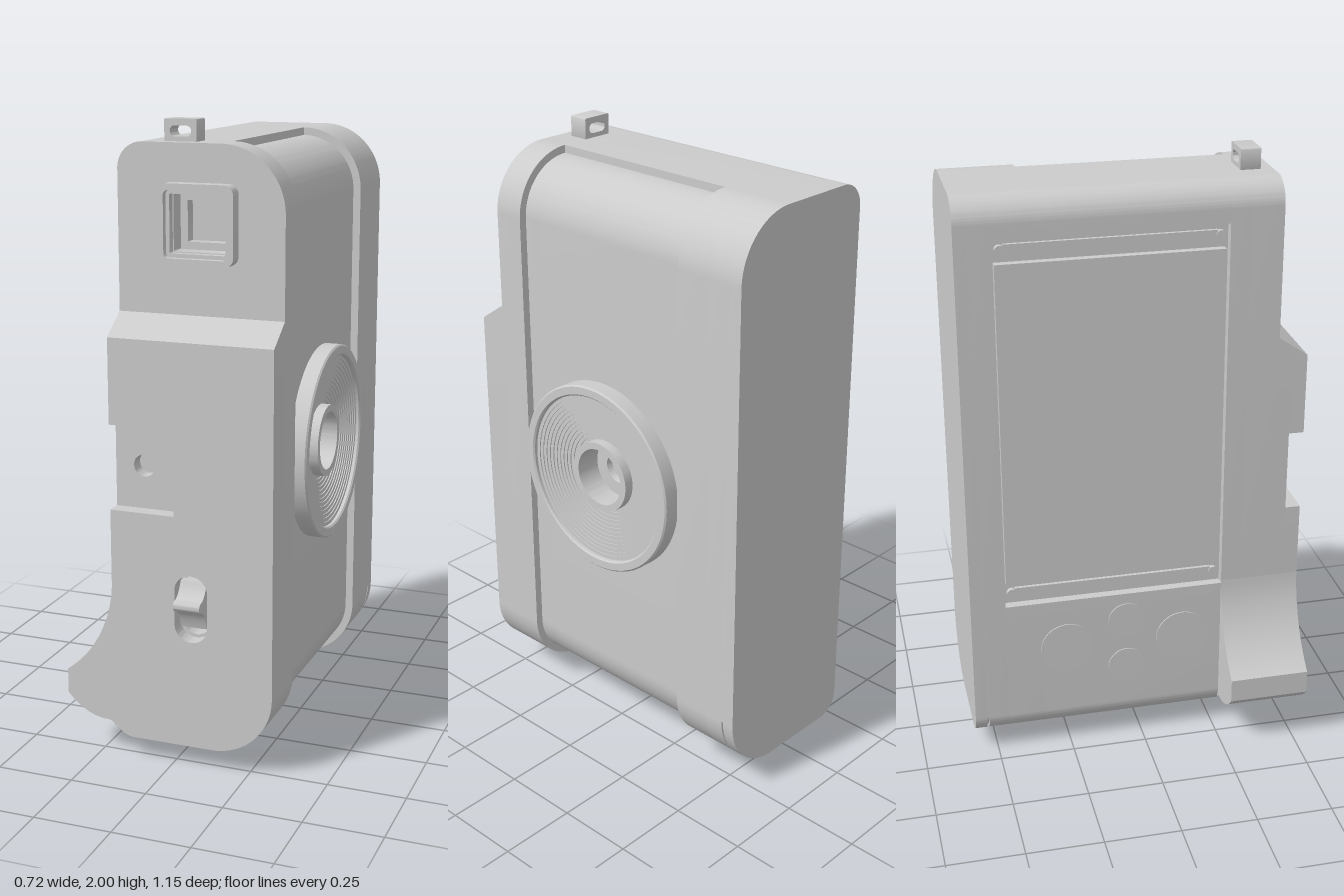
import * as THREE from 'three';
import { toCreasedNormals } from 'three/addons/utils/BufferGeometryUtils.js';

const PI = Math.PI;

export function createModel() {
  const group = new THREE.Group();
  const material = new THREE.MeshStandardMaterial({ color: 0xcccccc });

  const add = (name, geometry) => {
    const mesh = new THREE.Mesh(toCreasedNormals(geometry, 0.5), material);
    mesh.name = name;
    group.add(mesh);
    return mesh;
  };
  // Extrude a shape along z between two depths
  const slab = (shape, z0, z1) => new THREE.ExtrudeGeometry(shape, {
    depth: z1 - z0, bevelEnabled: false, curveSegments: 14 }).translate(0, 0, z0);
  // Extrude a (z, y) shape along x between two positions
  const across = (shape, x0, x1) => slab(shape, 0, x1 - x0).rotateY(-PI / 2).translate(x1, 0, 0);
  const polygon = (pts) => new THREE.Shape(pts.map(([x, y]) => new THREE.Vector2(x, y)));

  // Rounded rectangle from centre, half sizes and corner radius
  const roundRect = (cx, cy, hw, hh, r, Type = THREE.Shape) => {
    const s = new Type();
    s.absarc(cx + hw - r, cy - hh + r, r, -PI / 2, 0);
    s.absarc(cx + hw - r, cy + hh - r, r, 0, PI / 2);
    s.absarc(cx - hw + r, cy + hh - r, r, PI / 2, PI);
    s.absarc(cx - hw + r, cy - hh + r, r, PI, PI * 1.5);
    s.closePath();
    return s;
  };
  const hole = (...args) => roundRect(...args, THREE.Path);

  // Body outline, with optional inset band, bottom slit, screen recess and lens pocket
  const bodyOutline = ({ inset = 0, low = 0, screen = false, lens = false } = {}) => {
    const s = new THREE.Shape();
    s.moveTo(-0.13, 0.07 + low);
    s.lineTo(0.13, 0.07 + low);
    s.absarc(0.13, 0.27, 0.2 - inset - low, -PI / 2, 0);
    if (low) s.lineTo(0.33, 0.27);
    if (lens) for (const [x, y] of [[0.305, 0.63], [0.1, 0.63], [0.1, 1.285], [0.305, 1.285]]) s.lineTo(x, y);
    s.absarc(0.13, 1.735, 0.2 - inset, 0, PI / 2);
    if (inset) s.lineTo(0.13, 1.935);
    s.absarc(-0.12, 1.855, 0.08, PI / 2, PI);
    if (screen) for (const [x, y] of [[-0.2, 1.81], [-0.17, 1.81], [-0.17, 0.56], [-0.2, 0.56]]) s.lineTo(x, y);
    if (low) s.lineTo(-0.2, 0.14);
    s.absarc(-0.13, 0.14, 0.07 - low, PI, PI * 1.5);
    return s;
  };

  // Body, stacked from back end to front end
  const inset = 0.025;
  add('endCap', slab(bodyOutline(), -0.575, -0.535));
  add('endSlit', slab(bodyOutline({ low: 0.012 }), -0.535, -0.528));
  add('endBody', slab(bodyOutline(), -0.528, -0.46));
  add('endBodyScreenSide', slab(bodyOutline({ screen: true }), -0.46, -0.335));
  add('middleBody', slab(bodyOutline({ inset, screen: true, lens: true }), -0.335, 0.27));
  add('middleBodyEdge', slab(bodyOutline({ inset }), 0.27, 0.335));
  const frontShape = bodyOutline();
  frontShape.holes.push(hole(0.065, 1.7, 0.085, 0.085, 0.005));
  add('frontBody', slab(frontShape, 0.335, 0.44));

  // Wall around the lens opening
  const wall = polygon([[-0.27, 0.63], [0.335, 0.63], [0.335, 1.285], [-0.27, 1.285]]);
  wall.holes.push(new THREE.Path().absarc(0, 0.957, 0.2, 0, PI * 2));
  add('lensWall', slab(wall, 0, 0.205).rotateY(PI / 2).translate(0.1, 0, 0));

  // Lens ring with stepped funnel
  const profile = [[0.315, 0.3], [0.315, 0.355], [0.31, 0.36], [0.285, 0.36], [0.28, 0.355]];
  const steps = 13;
  for (let i = 0; i < steps; i++) {
    const x = 0.345 - i * 0.0035;
    profile.push([0.28 - i * 0.0125, x], [0.28 - (i + 1) * 0.0125, x]);
  }
  profile.push([0.1175, 0.335], [0.095, 0.335], [0.095, 0.25], [0.05, 0.25], [0.045, 0.23], [0, 0.23]);
  add('lens', new THREE.LatheGeometry(profile.map(([r, h]) => new THREE.Vector2(r, h)), 80)
    .rotateZ(-PI / 2).translate(0, 0.957, 0));

  // Thicker lower front, in two layers with socket recess and switch slot
  const lowerOutline = (recess) => {
    const s = new THREE.Shape();
    s.moveTo(-0.13, 0.07);
    s.absarc(0.13, 0.27, 0.2, -PI / 2, 0);
    s.lineTo(0.33, 1.36);
    s.lineTo(-0.2, 1.36);
    if (recess) for (const [x, y] of [[-0.2, 1.09], [0.01, 1.09], [0.01, 0.82], [-0.2, 0.82]]) s.lineTo(x, y);
    s.absarc(-0.13, 0.14, 0.07, PI, PI * 1.5);
    return s;
  };
  const inner = lowerOutline(false);
  inner.holes.push(new THREE.Path().absarc(-0.105, 0.957, 0.035, 0, PI * 2),
    hole(0.065, 0.527, 0.044, 0.098, 0.043));
  add('lowerFrontInner', slab(inner, 0.44, 0.485));
  const outer = lowerOutline(true);
  outer.holes.push(hole(0.065, 0.527, 0.054, 0.108, 0.053));
  add('lowerFrontOuter', slab(outer, 0.485, 0.535));
  add('frontSlope', across(polygon([[0.44, 1.36], [0.535, 1.36], [0.44, 1.425]]), -0.2, 0.33));

  // Slide switch
  const knob = new THREE.Shape();
  knob.moveTo(0.45, 0.46);
  knob.lineTo(0.51, 0.46);
  knob.quadraticCurveTo(0.53, 0.53, 0.566, 0.53);
  knob.quadraticCurveTo(0.581, 0.545, 0.566, 0.56);
  knob.quadraticCurveTo(0.53, 0.56, 0.51, 0.61);
  knob.lineTo(0.45, 0.61);
  add('slideSwitch', across(knob, 0.022, 0.108));

  // Finger grip
  const grip = new THREE.Shape();
  grip.moveTo(-0.195, 0.57);
  grip.lineTo(-0.2, 0.57);
  grip.bezierCurveTo(-0.205, 0.45, -0.27, 0.33, -0.36, 0.27);
  grip.lineTo(-0.36, 0.19);
  grip.quadraticCurveTo(-0.305, 0.125, -0.235, 0.118);
  grip.quadraticCurveTo(-0.205, 0.12, -0.195, 0.1);
  grip.lineTo(-0.185, 0.12);
  add('grip', slab(grip, 0.27, 0.535));

  // Viewfinder eyepiece with nested frames
  const frames = [['eyepiece', 0.12, 0.1, 0.03, 0.44, 0.485], ['eyepieceStep', 0.105, 0.088, 0.01, 0.44, 0.465],
    ['viewfinderFrame', 0.086, 0.062, 0.003, 0.345, 0.385]];
  for (const [name, size, open, r, z0, z1] of frames) {
    const s = roundRect(0.065, 1.7, size, size, r);
    s.holes.push(hole(0.065, 1.7, open, open, r * 0.5));
    add(name, slab(s, z0, z1));
  }
  add('viewfinderTab', new THREE.BoxGeometry(0.025, 0.05, 0.08).translate(0.1405, 1.76, 0.39));

  // Strap loops, top and bottom
  for (const [name, y] of [['topStrapLoop', 1.965], ['bottomStrapLoop', 0.038]]) {
    const s = roundRect(-0.0125, y, 0.0515, 0.036, 0.004);
    s.holes.push(hole(-0.0125, y, 0.034, 0.016, 0.0155));
    add(name, slab(s, 0.335, 0.4));
  }

  // Screen panel with screws in the channels above and below
  add('screen', new THREE.BoxGeometry(0.03, 1.09, 0.715).translate(-0.18, 1.185, -0.0975));
  for (const y of [0.6, 1.77]) {
    add('screenRail', new THREE.BoxGeometry(0.015, 0.035, 0.66).translate(-0.174, y, -0.095));
    for (const z of [-0.435, 0.245]) {
      add('screw', new THREE.CylinderGeometry(0.016, 0.016, 0.02, 20).rotateZ(PI / 2).translate(-0.175, y, z));
    }
  }

  // Buttons on the back
  for (const [z, y, r] of [[-0.257, 0.38, 0.09], [0.137, 0.375, 0.09], [-0.055, 0.46, 0.063], [-0.055, 0.285, 0.063]]) {
    add('button', new THREE.CylinderGeometry(r, r, 0.02, 40).rotateZ(PI / 2).translate(-0.194, y, z));
  }

  return group;
}
